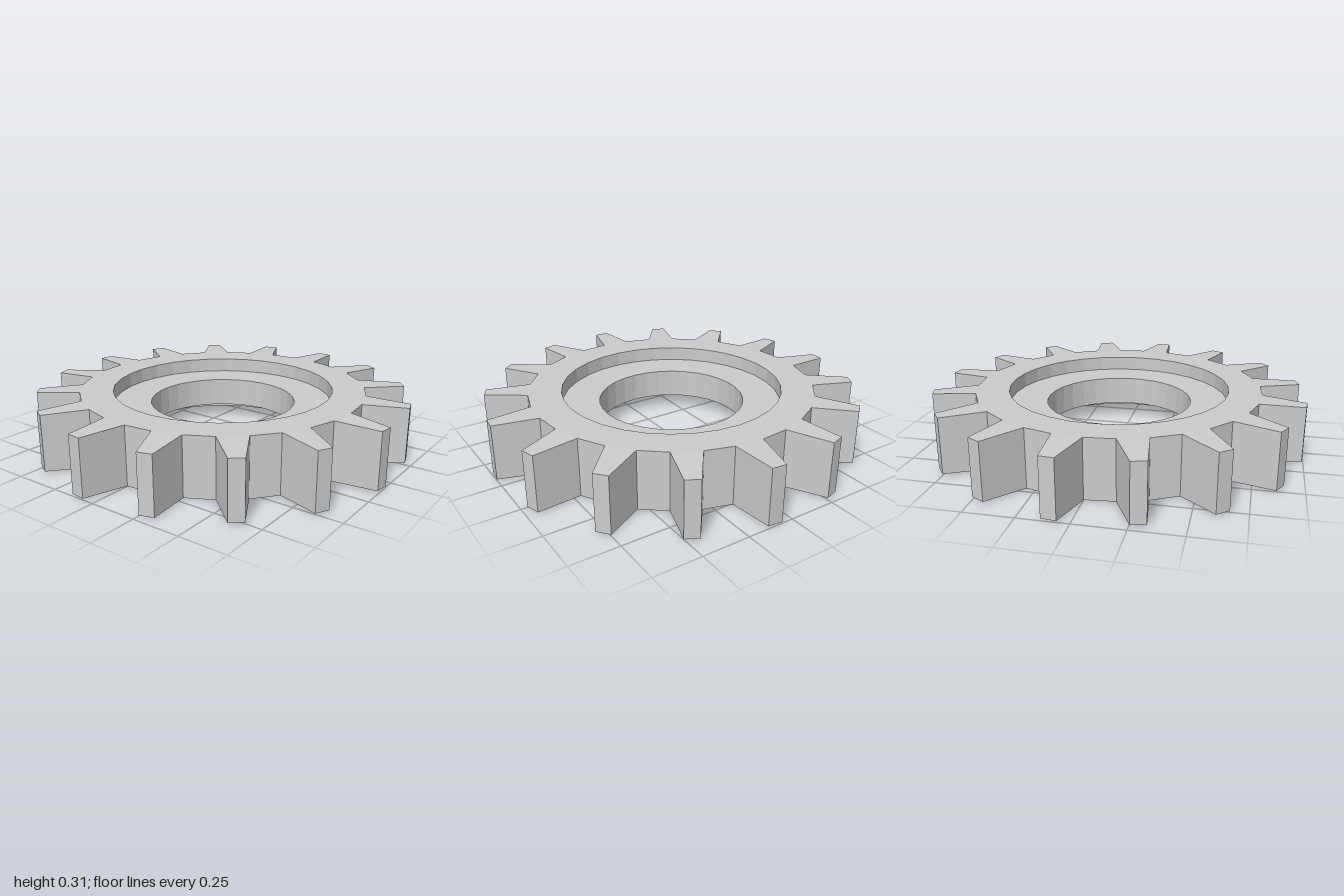
import * as THREE from 'three';

const TEETH = 16, SECTORS = TEETH * 2;
const HEIGHT = 0.31, WEB_LOW = 0.077, WEB_HIGH = 0.233;
const HOLE = 0.393, RECESS = 0.595, ROOT = 0.772, TIP = 1.002;
const TIP_LOW = 0.007, TIP_HIGH = 0.303;
const STEP = (Math.PI * 2) / SECTORS;
const TIP_HALF_ANGLE = 0.0375;

const point = (r, y, a) => [r * Math.cos(a), y, r * Math.sin(a)];

// Collects four-cornered faces into one flat-shaded mesh
function meshFromQuads(name, quads, material) {
  const positions = quads.flatMap(([a, b, c, d]) => [...a, ...b, ...c, ...a, ...c, ...d]);
  const geometry = new THREE.BufferGeometry();
  geometry.setAttribute('position', new THREE.Float32BufferAttribute(positions, 3));
  geometry.computeVertexNormals();
  const mesh = new THREE.Mesh(geometry, material);
  mesh.name = name;
  return mesh;
}

// Strip of faces between profile points, swept from angle a to angle b
function sweep(profile, a, b) {
  const quads = [];
  for (let i = 0; i + 1 < profile.length; i++) {
    const [p, q] = [profile[i], profile[i + 1]];
    quads.push([point(...p, a), point(...p, b), point(...q, b), point(...q, a)]);
  }
  return quads;
}

// Tapered tooth standing on the root circle between angles a and b
function tooth(a, b) {
  const mid = (a + b) / 2;
  const edge = (root, tip) => [
    point(ROOT, HEIGHT, root), point(TIP, TIP_HIGH, tip),
    point(TIP, TIP_LOW, tip), point(ROOT, 0, root),
  ];
  const start = edge(a, mid - TIP_HALF_ANGLE);
  const end = edge(b, mid + TIP_HALF_ANGLE);
  const quads = [start, [...end].reverse()]; // flanks
  for (let i = 0; i < 3; i++) quads.push([start[i], end[i], end[i + 1], start[i + 1]]);
  return quads;
}

export function createModel() {
  const group = new THREE.Group();
  group.name = 'gear';
  const material = new THREE.MeshStandardMaterial({ color: 0xcccccc, flatShading: true });

  // Bore, thin web and raised rim, as one closed section open at the outer wall
  const section = [
    [ROOT, 0], [RECESS, 0], [RECESS, WEB_LOW], [HOLE, WEB_LOW],
    [HOLE, WEB_HIGH], [RECESS, WEB_HIGH], [RECESS, HEIGHT], [ROOT, HEIGHT],
  ];
  const outerWall = [[ROOT, HEIGHT], [ROOT, 0]];

  const body = [], teeth = [];
  for (let i = 0; i < SECTORS; i++) {
    const a = i * STEP, b = a + STEP;
    body.push(...sweep(section, a, b));
    // Teeth alternate with gaps
    if (i % 2 === 0) teeth.push(...tooth(a, b));
    else body.push(...sweep(outerWall, a, b));
  }

  group.add(meshFromQuads('gearBody', body, material), meshFromQuads('gearTeeth', teeth, material));
  return group;
}
